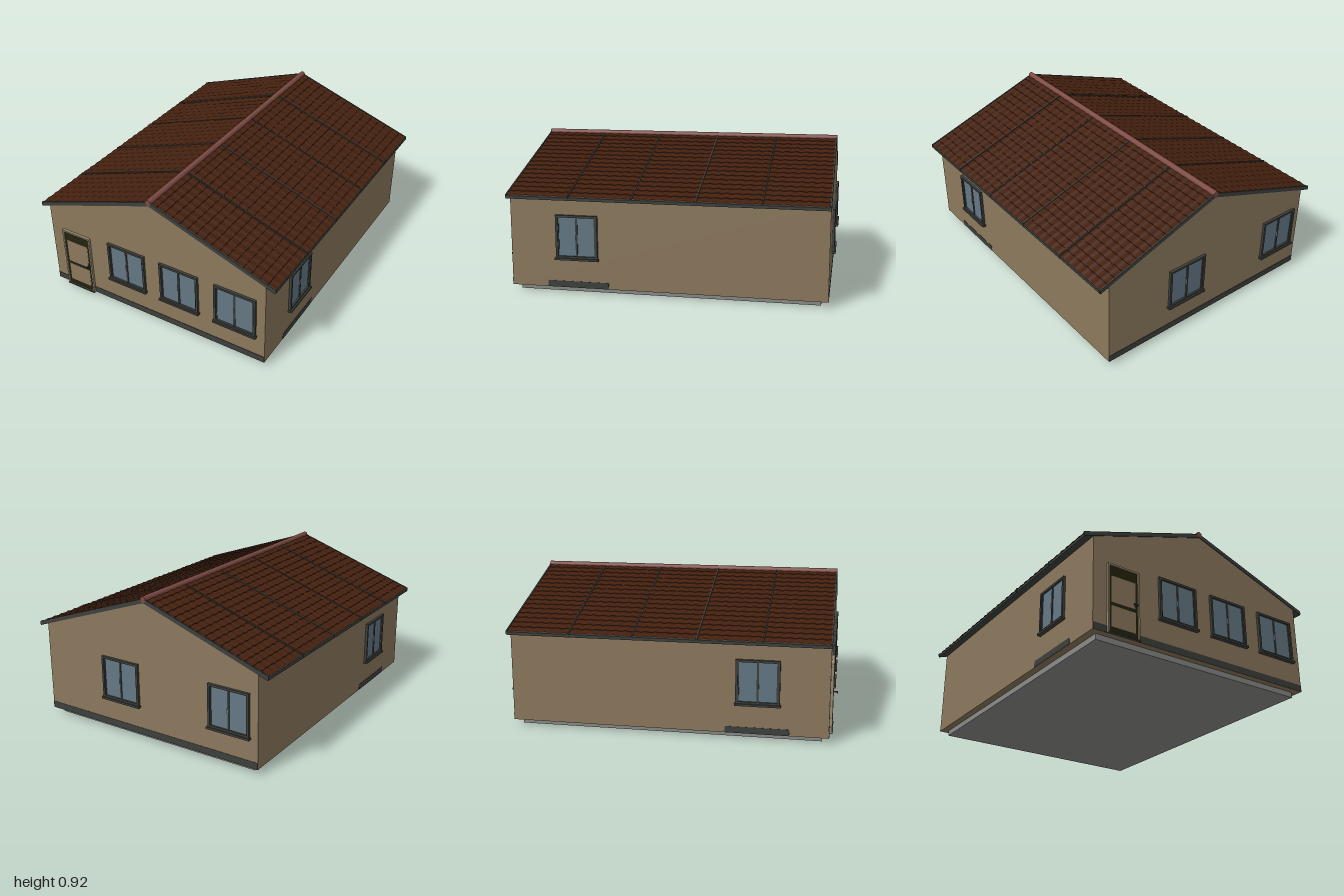
import * as THREE from 'three';

const mat = (name, color) => Object.assign(new THREE.MeshStandardMaterial({ color }), { name });
const M = {
  wall: mat('tan plaster', 0x8c795d),
  charcoal: mat('charcoal trim', 0x3d403d),
  tile: mat('brown roof tile', 0x43200f),
  ridge: mat('ridge red', 0x7d4b43),
  glass: mat('blue glass', 0x647885),
  concrete: mat('concrete', 0x8a8a88),
  olive: mat('dark olive', 0x25240f),
  metal: mat('light metal', 0xa9abab),
  doorTrim: mat('door trim', 0x9a8b70),
};
M.tile.side = THREE.DoubleSide;

const FRONT = 0.96, BACK = -0.975, HALF_W = 0.775, EAVE = 0.835;
const RIDGE_Y = 0.897, SLOPE = 0.347;
const roofY = (x) => RIDGE_Y - SLOPE * Math.abs(x);

function add(parent, name, geometry, material, x = 0, y = 0, z = 0) {
  const mesh = new THREE.Mesh(geometry, material);
  mesh.name = name;
  mesh.position.set(x, y, z);
  parent.add(mesh);
  return mesh;
}

// Box given by its two opposite corners
function box(parent, name, material, x0, x1, y0, y1, z0, z1) {
  return add(parent, name, new THREE.BoxGeometry(x1 - x0, y1 - y0, z1 - z0), material,
    (x0 + x1) / 2, (y0 + y1) / 2, (z0 + z1) / 2);
}

function prism(points, z0, z1) {
  const shape = new THREE.Shape(points.map(([x, y]) => new THREE.Vector2(x, y)));
  return new THREE.ExtrudeGeometry(shape, { depth: z1 - z0, bevelEnabled: false }).translate(0, 0, z0);
}

// Bent strip following both roof slopes
function chevron(half, top, bottom, z0, z1) {
  return prism([
    [-half, roofY(half) + bottom], [0, RIDGE_Y + bottom], [half, roofY(half) + bottom],
    [half, roofY(half) + top], [0, RIDGE_Y + top], [-half, roofY(half) + top],
  ], z0, z1);
}

// Ribbed sheet in stepped courses for one slope
function tileSheet(side) {
  const ribs = 32, perRib = 6, courses = 16;
  const cols = ribs * perRib, rows = courses * 2 - 1;
  const geo = new THREE.PlaneGeometry(1, 1, cols, rows);
  const p = geo.attributes.position;
  for (let r = 0; r <= rows; r++) {
    const x = EAVE * Math.ceil(r / 2) / courses;
    const step = r % 2 ? 0.004 : 0.001;
    for (let c = 0; c <= cols; c++) {
      const rib = 0.005 * Math.pow(Math.abs(Math.cos(Math.PI * c / perRib)), 3);
      p.setXYZ(r * (cols + 1) + c, side * x, roofY(x) + step + rib,
        BACK + (FRONT - BACK) * c / cols);
    }
  }
  const flat = geo.toNonIndexed();
  flat.computeVertexNormals();
  return flat;
}

// Two-sash window facing +z, centred on x = 0
function makeWindow(width) {
  const g = new THREE.Group();
  g.name = 'window';
  const w = width / 2, y0 = 0.222, y1 = 0.49, t = 0.014;
  box(g, 'glass', M.glass, -w + t, w - t, y0 + t, y1 - t, 0, 0.005);
  for (const s of [-1, 1]) {
    const x = s * (w - t / 2);
    box(g, 'frameSide', M.charcoal, x - t / 2, x + t / 2, y0, y1, 0, 0.016);
    const cx = s * (w - t) / 2, h = (w - t) / 2;
    for (const e of [-1, 1]) {
      const sx = cx + e * (h - 0.003);
      box(g, 'sashStile', M.charcoal, sx - 0.003, sx + 0.003, y0 + t, y1 - t, 0, 0.01);
    }
  }
  box(g, 'frameTop', M.charcoal, -w, w, y1 - t, y1, 0, 0.016);
  box(g, 'frameBottom', M.charcoal, -w, w, y0, y0 + t, 0, 0.016);
  box(g, 'sill', M.charcoal, -w - 0.006, w + 0.006, 0.211, 0.224, 0, 0.025);
  box(g, 'windowHandle', M.metal, -0.008, -0.004, 0.335, 0.37, 0.008, 0.013);
  return g;
}

function makeDoor() {
  const g = new THREE.Group();
  g.name = 'door';
  const x0 = -0.685, x1 = -0.473, f = FRONT;
  box(g, 'doorLeaf', M.olive, x0 + 0.01, x1 - 0.01, 0.04, 0.452, f, f + 0.008);
  box(g, 'upperPanel', M.wall, -0.66, -0.498, 0.225, 0.39, f, f + 0.01);
  box(g, 'lowerPanel', M.wall, -0.66, -0.498, 0.075, 0.205, f, f + 0.01);
  box(g, 'frameRight', M.doorTrim, x0, x0 + 0.011, 0.035, 0.463, f, f + 0.016);
  box(g, 'frameLeft', M.doorTrim, x1 - 0.011, x1, 0.035, 0.463, f, f + 0.016);
  box(g, 'frameTop', M.doorTrim, x0, x1, 0.452, 0.463, f, f + 0.016);
  box(g, 'threshold', M.charcoal, x0, x1, 0.034, 0.042, f, f + 0.02);
  // Lever handle
  box(g, 'handlePlate', M.charcoal, -0.505, -0.497, 0.22, 0.26, f, f + 0.014);
  box(g, 'handleStem', M.charcoal, -0.504, -0.498, 0.237, 0.243, f, f + 0.04);
  box(g, 'handleLever', M.charcoal, -0.53, -0.498, 0.237, 0.243, f + 0.034, f + 0.04);
  return g;
}

export function createModel() {
  const house = new THREE.Group();
  house.name = 'house';

  // Base and gabled walls
  box(house, 'foundation', M.concrete, -0.73, 0.73, 0, 0.036, -0.932, 0.92);
  const eaveY = roofY(HALF_W) - 0.015;
  add(house, 'walls', prism([
    [-HALF_W, 0.035], [HALF_W, 0.035], [HALF_W, eaveY], [0, RIDGE_Y - 0.015], [-HALF_W, eaveY],
  ], BACK, FRONT), M.wall);

  // Painted plinth bands
  box(house, 'frontPlinth', M.charcoal, -HALF_W, HALF_W, 0.036, 0.078, FRONT, FRONT + 0.002);
  box(house, 'backPlinth', M.charcoal, -HALF_W, HALF_W, 0.036, 0.078, BACK - 0.002, BACK);
  for (const s of [-1, 1]) {
    const x = s * HALF_W;
    box(house, 'sidePlinth', M.charcoal, x - 0.002, x + 0.002, 0.036, 0.075, 0.345, 0.73);
  }

  // Roof deck, tile sheets, seams and ridge cap
  add(house, 'roofDeck', chevron(EAVE, 0, -0.018, BACK - 0.004, FRONT + 0.004), M.charcoal);
  for (const s of [-1, 1]) add(house, 'roofTiles', tileSheet(s), M.tile);
  for (let i = 0; i <= 5; i++) {
    const z = BACK + (FRONT - BACK) * i / 5;
    add(house, 'roofSeam', chevron(EAVE + 0.003, 0.0095, -0.012, z - 0.004, z + 0.004), M.charcoal);
  }
  const cap = new THREE.CylinderGeometry(0.019, 0.019, FRONT - BACK + 0.01, 16).rotateX(Math.PI / 2);
  add(house, 'ridgeCap', cap, M.ridge, 0, 0.9, (FRONT + BACK) / 2);

  // Windows: width, x, z, turn
  const windows = [
    [0.272, -0.193, FRONT, 0], [0.272, 0.19, FRONT, 0], [0.28, 0.577, FRONT, 0],
    [0.275, -0.585, BACK, Math.PI], [0.275, 0.192, BACK, Math.PI],
    [0.262, HALF_W, 0.54, Math.PI / 2], [0.262, -HALF_W, 0.54, -Math.PI / 2],
  ];
  for (const [w, x, z, turn] of windows) {
    const win = makeWindow(w);
    win.position.set(x, 0, z);
    win.rotation.y = turn;
    house.add(win);
  }

  house.add(makeDoor());
  return house;
}
